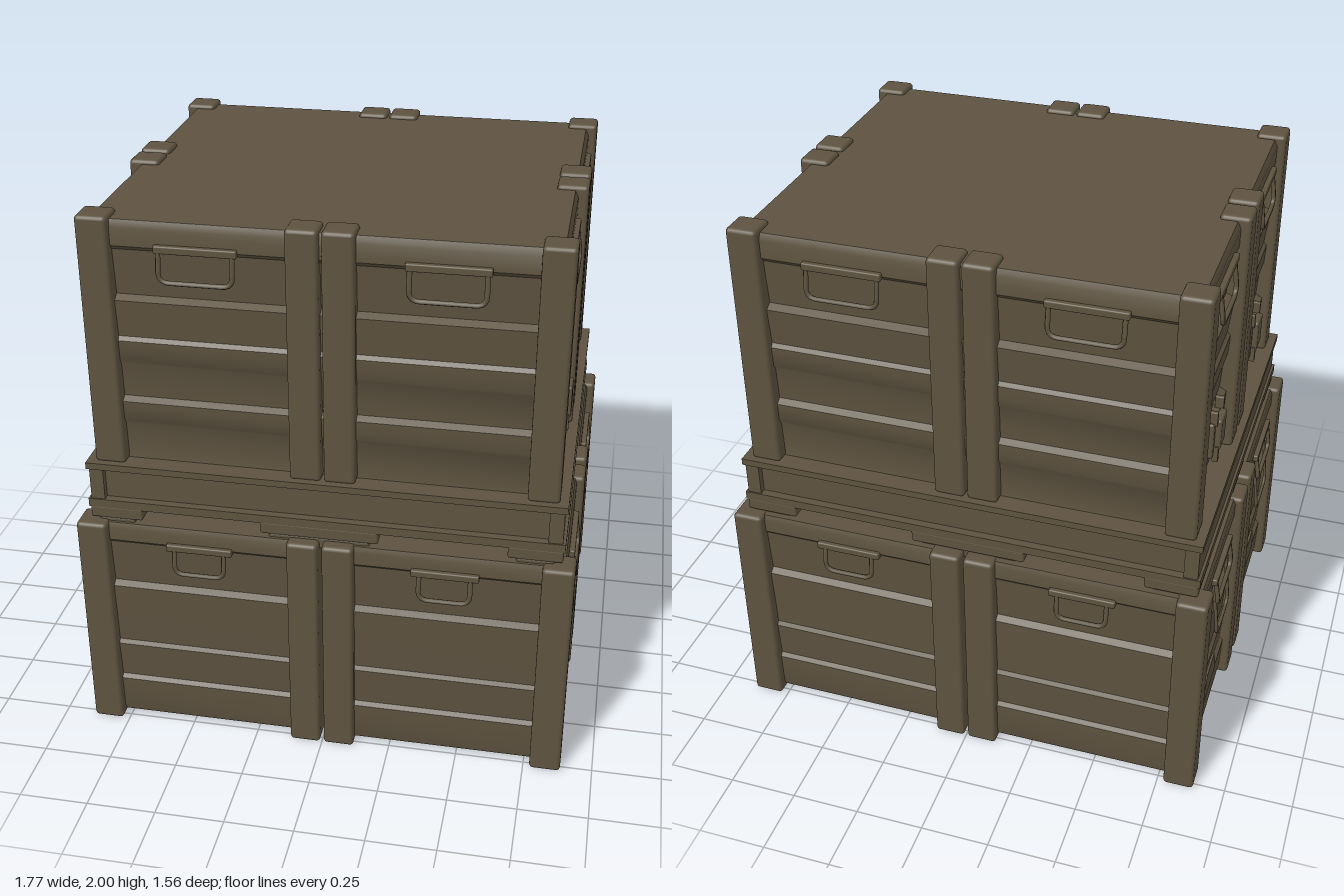
import * as THREE from 'three';
import { toCreasedNormals } from 'three/addons/utils/BufferGeometryUtils.js';
import { RoundedBoxGeometry } from 'three/addons/geometries/RoundedBoxGeometry.js';

const paint = new THREE.MeshStandardMaterial({ color: 0x5e5340 });
paint.name = 'drab brown paint';

function add(parent, name, geometry, x = 0, y = 0, z = 0) {
  const mesh = new THREE.Mesh(geometry, paint);
  mesh.name = name;
  mesh.position.set(x, y, z);
  parent.add(mesh);
  return mesh;
}

// Box given by its limits, optionally with softened edges
function block(parent, name, [x0, x1], [y0, y1], [z0, z1], radius = 0) {
  const size = [x1 - x0, y1 - y0, z1 - z0];
  const geo = radius ? new RoundedBoxGeometry(...size, 2, radius) : new THREE.BoxGeometry(...size);
  return add(parent, name, geo, (x0 + x1) / 2, (y0 + y1) / 2, (z0 + z1) / 2);
}

// Four-sided body whose walls follow a profile of [outline factor, height]
function ribbedBody(parent, name, profile, halfX, halfZ, x, z) {
  const points = profile.map(([k, y]) => new THREE.Vector2(k * Math.SQRT2, y));
  const geo = new THREE.LatheGeometry(points, 4, Math.PI / 4);
  geo.scale(halfX, 1, halfZ);
  return add(parent, name, toCreasedNormals(geo.toNonIndexed(), 0.6), x, 0, z);
}

// Rounded U of wire hanging from y = 0
function wireLoop(width, drop, out, radius) {
  const w = width / 2, c = Math.min(0.035, drop / 2);
  const path = new THREE.CurvePath();
  const v = (x, y, z) => new THREE.Vector3(x, y, z);
  path.add(new THREE.LineCurve3(v(-w, 0, 0), v(-w, -drop + c, out)));
  path.add(new THREE.QuadraticBezierCurve3(v(-w, -drop + c, out), v(-w, -drop, out), v(-w + c, -drop, out)));
  path.add(new THREE.LineCurve3(v(-w + c, -drop, out), v(w - c, -drop, out)));
  path.add(new THREE.QuadraticBezierCurve3(v(w - c, -drop, out), v(w, -drop, out), v(w, -drop + c, out)));
  path.add(new THREE.LineCurve3(v(w, -drop + c, out), v(w, 0, 0)));
  return new THREE.TubeGeometry(path, 40, radius, 6);
}

function handle(plateWidth, width, drop) {
  const g = new THREE.Group();
  g.name = 'handle';
  block(g, 'handlePlate', [-plateWidth / 2, plateWidth / 2], [-0.012, 0.015], [-0.02, 0.015], 0.005);
  add(g, 'handleLoop', wireLoop(width, drop, 0.012, 0.009), 0, 0, 0.005);
  return g;
}

function latch() {
  const g = new THREE.Group();
  g.name = 'latch';
  block(g, 'latchBase', [-0.07, 0.07], [-0.07, 0.07], [-0.03, 0.004], 0.008);
  block(g, 'latchCover', [-0.045, 0.045], [-0.045, 0.075], [0, 0.025], 0.008);
  block(g, 'latchTongue', [-0.05, -0.03], [-0.09, -0.03], [0, 0.02]);
  for (const s of [-1, 1]) {
    block(g, 'latchHook', [s * 0.052 - 0.008, s * 0.052 + 0.008], [0.06, 0.115], [-0.02, 0.012], 0.004);
  }
  return g;
}

// Narrow-topped grip plate
function gripPlate() {
  const shape = new THREE.Shape();
  shape.moveTo(-0.105, -0.055);
  shape.lineTo(0.105, -0.055);
  shape.lineTo(0.1, -0.01);
  shape.lineTo(0.065, 0.055);
  shape.lineTo(-0.065, 0.055);
  shape.lineTo(-0.1, -0.01);
  const g = new THREE.Group();
  g.name = 'grip';
  add(g, 'gripPlate', new THREE.ExtrudeGeometry(shape, { depth: 0.03, bevelEnabled: false }), 0, 0, -0.02);
  return g;
}

// Hang a fitting on the wall facing the given turn around y
function mount(parent, fitting, turn, across, y, out) {
  const holder = new THREE.Group();
  holder.name = fitting.name + 'Mount';
  fitting.position.set(across, y, out);
  holder.rotation.y = turn;
  holder.add(fitting);
  parent.add(holder);
}

export function createModel() {
  const model = new THREE.Group();
  model.name = 'crateStack';

  // Four lower crates
  const lowerProfile = [
    [0, 0.02], [0.97, 0.02], [0.985, 0.035], [1, 0.17], [0.965, 0.185], [0.995, 0.33], [0.965, 0.345],
    [0.975, 0.43], [1, 0.59], [0.935, 0.605], [0.975, 0.78], [1, 0.79], [1, 0.84], [0.98, 0.86], [0, 0.86],
  ];
  for (const sx of [-1, 1]) {
    for (const sz of [-1, 1]) {
      const crate = new THREE.Group();
      crate.name = 'lowerCrate';
      ribbedBody(crate, 'crateBody', lowerProfile, 0.41, 0.35, sx * 0.446, sz * 0.4);
      for (const px of [0.063, 0.829]) {
        for (const pz of [0.076, 0.724]) {
          const x = sx * px, z = sz * pz;
          block(crate, 'cornerPost', [x - 0.056, x + 0.056], [0, 0.865], [z - 0.056, z + 0.056], 0.014);
        }
      }
      model.add(crate);
    }
  }

  // Tray with flanges and side bars
  const tray = new THREE.Group();
  tray.name = 'tray';
  block(tray, 'trayTopFlange', [-0.845, 0.845], [1.065, 1.09], [-0.735, 0.735]);
  block(tray, 'trayWeb', [-0.79, 0.79], [0.94, 1.07], [-0.705, 0.705]);
  block(tray, 'trayBottomFlange', [-0.845, 0.845], [0.913, 0.945], [-0.735, 0.735]);
  for (const s of [-1, 1]) {
    block(tray, 'traySideBar', [s * 0.81 - 0.025, s * 0.81 + 0.025], [0.94, 1.07], [-0.73, 0.73]);
  }
  // Stepped feet under the tray
  for (const [x, w] of [[-0.745, 0.095], [-0.01, 0.21], [0.745, 0.095]]) {
    for (const [z, d] of [[-0.64, 0.095], [0, 0.11], [0.64, 0.095]]) {
      block(tray, 'footPad', [x - w, x + w], [0.87, 0.918], [z - d, z + d], 0.008);
      block(tray, 'footTip', [x - w + 0.03, x + w - 0.03], [0.83, 0.875], [z - d + 0.015, z + d - 0.002], 0.008);
    }
  }
  model.add(tray);

  // Upper crate block
  const upper = new THREE.Group();
  upper.name = 'upperCrate';
  const upperProfile = [
    [0, 1.08], [0.97, 1.08], [0.965, 1.1], [0.975, 1.23], [0.995, 1.25], [0.998, 1.32], [0.965, 1.335],
    [0.975, 1.46], [0.99, 1.475], [0.995, 1.55], [0.98, 1.565], [1, 1.7], [0.96, 1.715], [0.98, 1.88],
    [1, 1.895], [1, 1.96], [0.985, 1.985], [0, 1.985],
  ];
  ribbedBody(upper, 'upperBody', upperProfile, 0.785, 0.685, 0, 0);
  const post = (x, z) =>
    block(upper, 'upperPost', [x - 0.055, x + 0.055], [1.085, 2], [z - 0.055, z + 0.055], 0.014);
  for (const s of [-1, 1]) {
    for (const t of [-1, 1]) {
      post(s * 0.76, t * 0.655);
      post(s * 0.06, t * 0.655);
      post(s * 0.765, t * 0.066);
    }
  }
  model.add(upper);

  // Fittings on all four walls
  for (const s of [-1, 1]) {
    for (const turn of [0, Math.PI]) {
      mount(model, handle(0.24, 0.18, 0.1), turn, s * 0.44, 0.785, 0.752);
      mount(model, handle(0.28, 0.25, 0.11), turn, s * 0.415, 1.895, 0.688);
    }
    for (const turn of [Math.PI / 2, -Math.PI / 2]) {
      mount(model, handle(0.28, 0.24, 0.11), turn, s * 0.4, 0.785, 0.86);
      const loop = new THREE.Group();
      loop.name = 'longLoop';
      add(loop, 'longLoopWire', wireLoop(0.2, 0.26, 0.025, 0.007));
      mount(model, loop, turn, s * 0.4, 0.775, 0.855);
      mount(model, gripPlate(), turn, s * 0.4, 0.22, 0.848);
      mount(model, handle(0.3, 0.23, 0.12), turn, s * 0.363, 1.905, 0.788);
      mount(model, latch(), turn, s * 0.35, 1.295, 0.795);
    }
  }
  return model;
}
